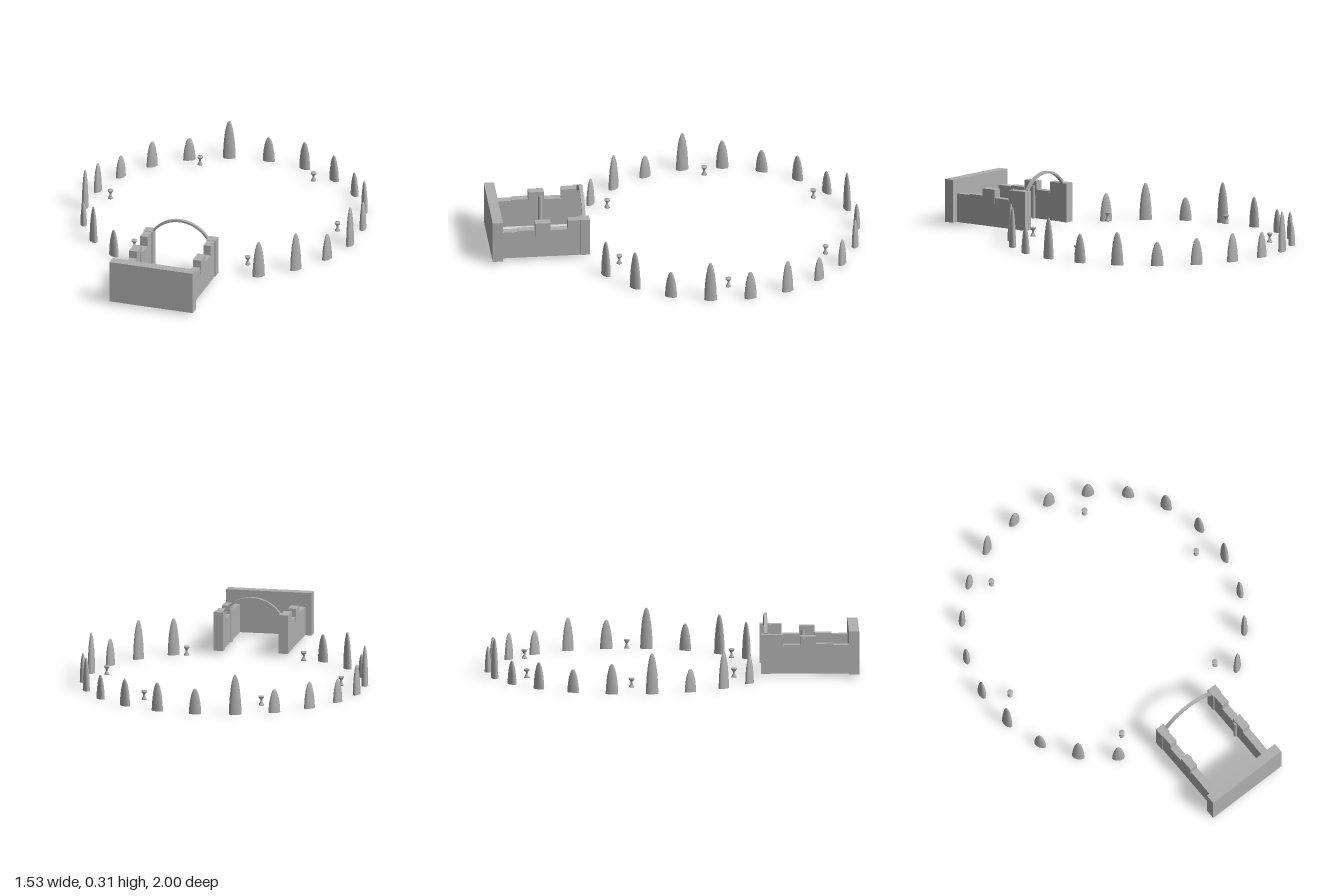
import * as THREE from 'three';

export function createModel() {
  const model = new THREE.Group();
  const stone = new THREE.MeshStandardMaterial({ color: 0xb0b0b0 });
  stone.name = 'grey stone';
  const centreZ = -0.226;

  function add(parent, name, geometry, x = 0, y = 0, z = 0) {
    const mesh = new THREE.Mesh(geometry, stone);
    mesh.name = name;
    mesh.position.set(x, y, z);
    parent.add(mesh);
    return mesh;
  }

  // Box given by its extents
  function block(parent, name, x0, x1, y0, y1, z0, z1) {
    add(parent, name, new THREE.BoxGeometry(x1 - x0, y1 - y0, z1 - z0),
      (x0 + x1) / 2, (y0 + y1) / 2, (z0 + z1) / 2);
  }

  // Ring of standing stones: flattened, tapering, open towards the gatehouse
  const profile = [[0, 0], [1, 0], [0.96, 0.2], [0.87, 0.42], [0.73, 0.63], [0.54, 0.81],
    [0.34, 0.93], [0.17, 0.985], [0, 1]].map(([r, y]) => new THREE.Vector2(r, y));
  const lastCorner = profile[1];
  profile.splice(1, 0, lastCorner.clone());
  const stoneShape = new THREE.LatheGeometry(profile, 12);
  const rightHeights = [0.138, 0.155, 0.145, 0.13, 0.18, 0.157, 0.222, 0.146, 0.214, 0.2];
  const leftHeights = [0, 0.217, 0.127, 0.145, 0.125, 0.163, 0.22, 0.125, 0.2, 0.15];
  const ring = new THREE.Group();
  ring.name = 'stoneRing';
  model.add(ring);
  for (let k = -9; k <= 9; k++) {
    const a = k * Math.PI * 2 / 22;
    const height = k < 0 ? leftHeights[-k] : rightHeights[k];
    const m = add(ring, 'standingStone', stoneShape,
      0.755 * Math.sin(a), 0, centreZ - 0.755 * Math.cos(a));
    m.scale.set(0.034, height, 0.018);
    m.rotation.y = -a;
  }

  // Six small hourglass pedestals inside the ring
  const pedestalShape = new THREE.LatheGeometry(
    [[0, 0], [0.014, 0], [0.014, 0.004], [0.006, 0.018], [0.005, 0.028], [0.015, 0.042],
      [0.016, 0.049], [0, 0.049]].map(([r, y]) => new THREE.Vector2(r, y)), 12);
  for (let i = 0; i < 6; i++) {
    const a = Math.PI / 6 + i * Math.PI / 3;
    add(model, 'pedestal', pedestalShape,
      0.64 * Math.sin(a), 0.019, centreZ - 0.64 * Math.cos(a));
  }

  // Gatehouse: broad front wall and two stepped side walls
  const gate = new THREE.Group();
  gate.name = 'gatehouse';
  model.add(gate);
  const base = 0.017;
  block(gate, 'frontWall', -0.234, 0.234, base, 0.249, 0.945, 1);
  for (const s of [-1, 1]) {
    const part = (name, xa, xb, y0, y1, z0, z1) =>
      block(gate, name, Math.min(s * xa, s * xb), Math.max(s * xa, s * xb), y0, y1, z0, z1);
    part('sideWall', 0.158, 0.199, base, 0.165, 0.5, 0.946);
    part('wallCap', 0.158, 0.199, 0.165, 0.178, 0.77, 0.86);
    part('wallCap', 0.158, 0.199, 0.165, 0.173, 0.595, 0.69);
    part('wallCap', 0.158, 0.199, 0.165, 0.172, 0.86, 0.946);
    part('merlon', 0.157, 0.202, 0.14, 0.218, 0.685, 0.768);
    part('stepBlock', 0.158, 0.199, 0.16, 0.226, 0.52, 0.592);
    part('cornerPillar', 0.152, 0.203, base, 0.228, 0.475, 0.526);
    // Slim column on the inner face
    add(gate, 'innerColumn', new THREE.CylinderGeometry(0.012, 0.012, 0.178, 12),
      s * 0.158, base + 0.089, 0.705);
  }

  // Arch springing between the corner pillars
  const outer = 0.19, inner = 0.178;
  const from = Math.acos(0.156 / outer), to = Math.PI - from;
  const arc = new THREE.Shape();
  arc.absarc(0, 0, outer, from, to, false);
  arc.absarc(0, 0, inner, to, from, true);
  arc.closePath();
  add(gate, 'arch', new THREE.ExtrudeGeometry(arc,
    { depth: 0.018, bevelEnabled: false, curveSegments: 24 }), 0, 0.122, 0.493);

  return model;
}
